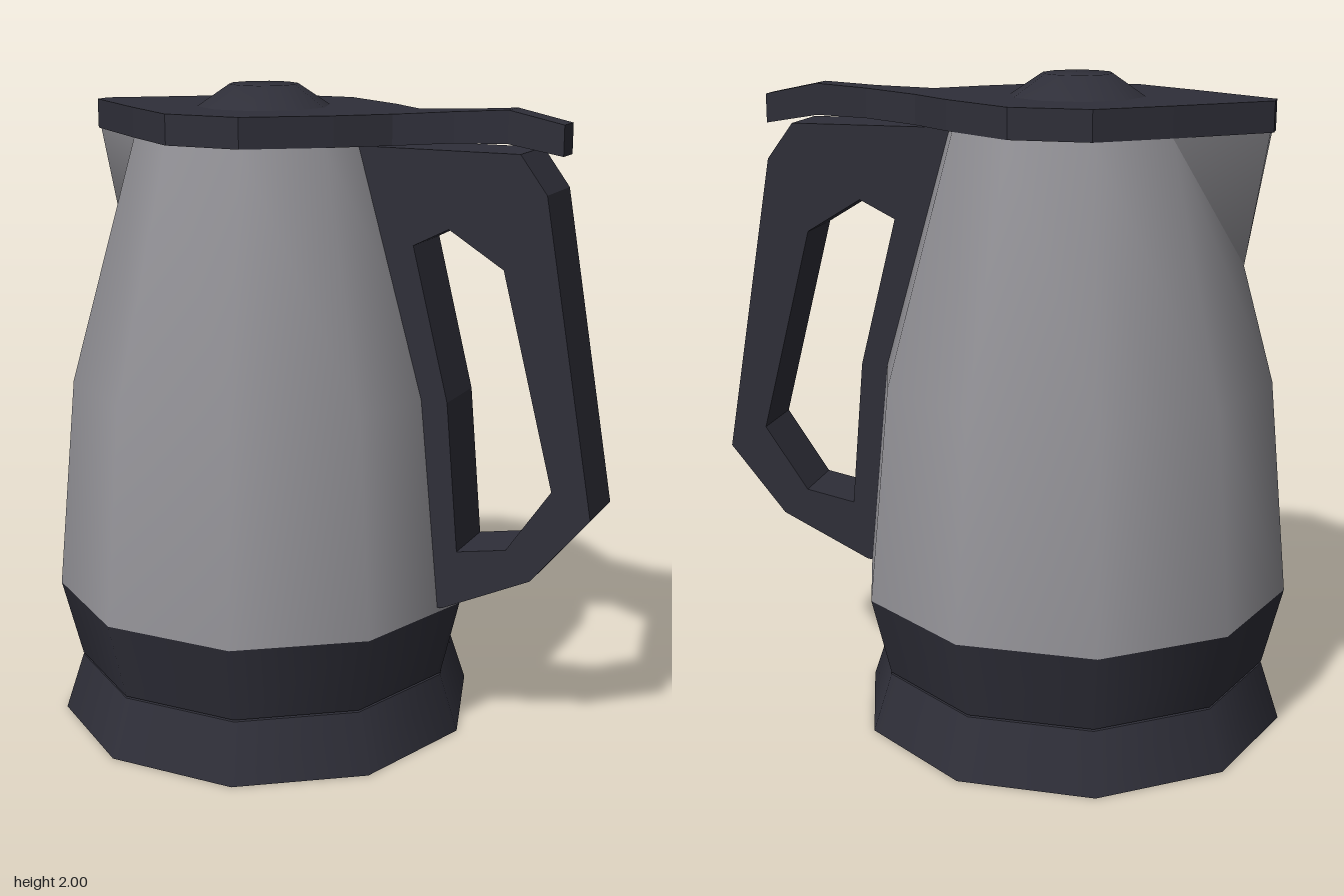
import * as THREE from 'three';

export function createModel() {
  const group = new THREE.Group();
  const darkPlastic = new THREE.MeshStandardMaterial({ color: 0x2f2f39 });
  const steel = new THREE.MeshStandardMaterial({ color: 0x939297, side: THREE.DoubleSide });
  const SIDES = 10, CX = -0.22;

  function add(name, geometry, material) {
    const mesh = new THREE.Mesh(geometry, material);
    mesh.name = name;
    group.add(mesh);
    return mesh;
  }
  // Ten-sided tapered drum with a corner pointing along x
  function drum(name, rBottom, rTop, y0, y1) {
    const g = new THREE.CylinderGeometry(rTop, rBottom, y1 - y0, SIDES, 1, false, Math.PI / 2);
    add(name, g, darkPlastic).position.set(CX, (y0 + y1) / 2, 0);
  }
  function turned(name, profile, material) {
    const pts = profile.map(([r, y]) => new THREE.Vector2(r, y));
    add(name, new THREE.LatheGeometry(pts, SIDES, Math.PI / 2), material).position.x = CX;
  }

  // Power base, hidden connector and lower collar
  drum('powerBase', 0.67, 0.61, 0, 0.182);
  drum('connector', 0.45, 0.45, 0.17, 0.2);
  drum('lowerCollar', 0.61, 0.67, 0.188, 0.435);

  // Steel jug
  turned('jugBody', [[0.67, 0.435], [0.605, 1.1], [0.395, 1.845]], steel);

  // Spout: pinched lip folding out of the body
  const spout = new THREE.BufferGeometry();
  spout.setAttribute('position', new THREE.Float32BufferAttribute([
    -0.727, 1.45, 0,
    -0.54, 1.845, 0.232,
    -0.79, 1.845, 0.03,
    -0.79, 1.845, -0.03,
    -0.54, 1.845, -0.232,
  ], 3));
  spout.setIndex([0, 1, 2, 0, 2, 3, 0, 3, 4]);
  spout.computeVertexNormals();
  add('spout', spout, steel);

  // Lid with thumb lever: rectangular sections along x [x, half width, bottom, top]
  const sections = [
    [-0.8, 0.03, 1.845, 1.935], [-0.54, 0.235, 1.845, 1.935],
    [-0.34, 0.38, 1.845, 1.935], [-0.1, 0.38, 1.845, 1.935],
    [0.12, 0.22, 1.845, 1.935], [0.25, 0.1, 1.845, 1.935],
    [0.42, 0.05, 1.855, 1.945], [0.58, 0.042, 1.86, 1.955],
    [0.745, 0.04, 1.832, 1.92],
  ];
  const rings = sections.map(([x, w, b, t]) => [[x, b, w], [x, t, w], [x, t, -w], [x, b, -w]]);
  const pos = [];
  const quad = (a, b, c, d) => pos.push(...a, ...b, ...c, ...a, ...c, ...d);
  for (let i = 0; i < rings.length - 1; i++) {
    for (let k = 0; k < 4; k++) {
      const n = (k + 1) % 4;
      quad(rings[i][k], rings[i + 1][k], rings[i + 1][n], rings[i][n]);
    }
  }
  quad(...rings[0]);
  quad(...rings[rings.length - 1].slice().reverse());
  const lid = new THREE.BufferGeometry();
  lid.setAttribute('position', new THREE.Float32BufferAttribute(pos, 3));
  lid.computeVertexNormals();
  add('lid', lid, darkPlastic);
  turned('lidDome', [[0.205, 1.934], [0.105, 2], [0, 2]], darkPlastic);

  // Handle: angular loop with a finger opening
  const toPoints = (list) => list.map(([x, y]) => new THREE.Vector2(x, y));
  const handleShape = new THREE.Shape(toPoints([
    [0.12, 1.84], [0.33, 1.1], [0.39, 0.45], [0.43, 0.45], [0.71, 0.585],
    [0.885, 0.8], [0.722, 1.73], [0.64, 1.84],
  ]));
  handleShape.holes.push(new THREE.Path(toPoints([
    [0.32, 1.56], [0.43, 1.615], [0.6, 1.51], [0.765, 0.87],
    [0.63, 0.67], [0.475, 0.64], [0.435, 1.1],
  ])));
  const handle = new THREE.ExtrudeGeometry(handleShape, { depth: 0.2, bevelEnabled: false });
  handle.translate(0, 0, -0.1);
  add('handle', handle, darkPlastic);

  return group;
}
